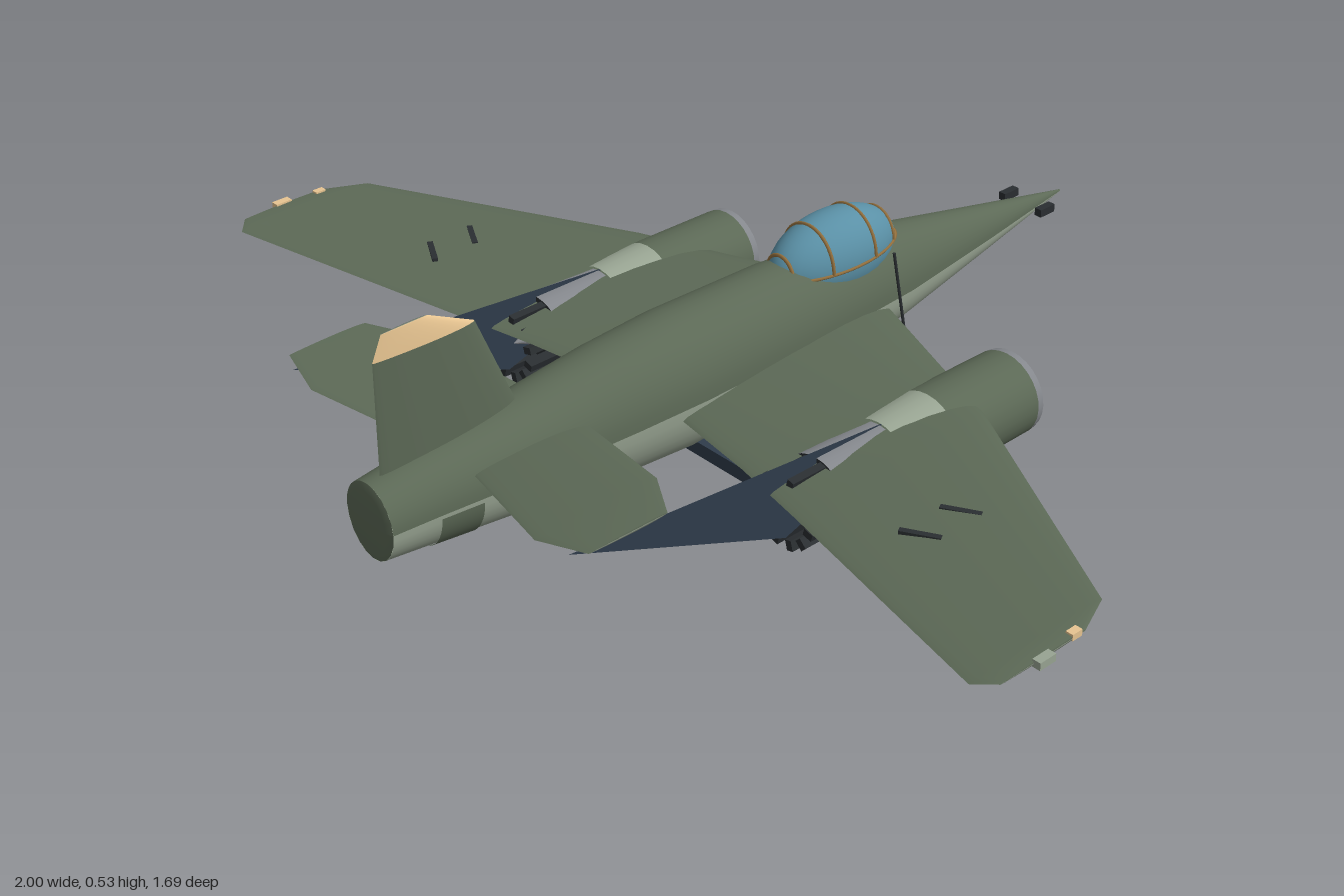
import * as THREE from 'three';

const flat = (name, color) => {
  const m = new THREE.MeshStandardMaterial({ color, side: THREE.DoubleSide });
  m.name = name;
  return m;
};
const olive = flat('olive', 0x5c6956);
const pale = flat('paleGreen', 0x98a492);
const steel = flat('steel', 0x84878c);
const navy = flat('navy', 0x2f3c4b);
const glass = flat('glass', 0x5a90a6);
const dark = flat('darkMetal', 0x2a2e31);
const brown = flat('brown', 0x94713f);
const tan = flat('tan', 0xeac793);

// Surface through rows of points
function skin(rows) {
  const n = rows[0].length, index = [];
  for (let i = 0; i < rows.length - 1; i++) {
    for (let j = 0; j < n - 1; j++) {
      const a = i * n + j, c = a + n;
      index.push(a, a + 1, c, a + 1, c + 1, c);
    }
  }
  const g = new THREE.BufferGeometry();
  g.setAttribute('position', new THREE.Float32BufferAttribute(rows.flat(2), 3));
  g.setIndex(index);
  g.computeVertexNormals();
  return g;
}

// One face of an aerofoil lofted along +x; sections are [x, y, lead z, trail z, thickness]
const LOWER = 0, UPPER = Math.PI;
function foil(sections, start, capped = true, n = 12) {
  const angles = Array.from({ length: n + 1 }, (_, j) => start + Math.PI * j / n);
  const row = ([x, y, lead, trail, thick]) => angles.map((t) => {
    const c = Math.cos(t);
    return [x, y - Math.sin(t) * thick / 2 * (0.85 - 0.3 * c),
      (lead + trail) / 2 + c * (trail - lead) / 2];
  });
  const rows = sections.map(row);
  if (capped) rows.push(row([...sections.at(-1).slice(0, 4), 0]));
  return skin(rows);
}

// Copy reflected to the other side, with its faces turned back outwards
function mirrored(geo) {
  const g = geo.clone().scale(-1, 1, 1), ix = g.index.array;
  for (let i = 0; i < ix.length; i += 3) [ix[i], ix[i + 1]] = [ix[i + 1], ix[i]];
  return g;
}

// Fuselage stations: [z, half width, top, bottom]
const SPLIT = 0.205;
const stations = [
  [-0.845, 0.002, 0.207, 0.203], [-0.6, 0.042, 0.256, 0.162], [-0.34, 0.08, 0.31, 0.115],
  [-0.05, 0.1, 0.333, 0.085], [0.2, 0.105, 0.336, 0.066], [0.35, 0.1, 0.328, 0.076],
  [0.6, 0.085, 0.302, 0.105], [0.75, 0.07, 0.286, 0.12], [0.84, 0.063, 0.275, 0.13],
];
function hull(list, t0, t1, grow = 0) {
  return skin(list.map(([z, w, top, bottom]) => Array.from({ length: 21 }, (_, j) => {
    const t = t0 + (t1 - t0) * j / 20, s = Math.sin(t);
    const h = s > 0 ? top - SPLIT : SPLIT - bottom;
    return [Math.cos(t) * (w + grow), SPLIT + s * (h + grow), z];
  })));
}

export function createModel() {
  const model = new THREE.Group();
  model.name = 'aircraft';
  const add = (name, geo, mat, x = 0, y = 0, z = 0, parent = model) => {
    const m = new THREE.Mesh(geo, mat);
    m.name = name;
    m.position.set(x, y, z);
    parent.add(m);
    return m;
  };
  const box = (w, h, d) => new THREE.BoxGeometry(w, h, d);
  const pair = (name, geo, mat) => {
    add(name + 'Left', geo, mat);
    add(name + 'Right', mirrored(geo), mat);
  };

  // Fuselage
  add('fuselageUpper', hull(stations, 0, Math.PI), olive);
  add('fuselageLower', hull(stations, Math.PI, Math.PI * 2), pale);
  const end = stations.at(-1);
  add('tailCap', hull([end, [0.845, 0.05, 0.262, 0.145], [0.845, 0, SPLIT, SPLIT]], 0, Math.PI * 2), olive);
  const patch = [[0.67, 0.0785, 0.295, 0.112], [0.75, 0.07, 0.286, 0.12]];
  pair('tailPatch', hull(patch, Math.PI * 1.62, Math.PI * 1.98, 0.002), olive);

  // Wings and tailplanes, olive above and pale below
  const surfaces = {
    wing: [
      [0.05, 0.185, -0.29, 0.25, 0.07], [0.28, 0.185, -0.2, 0.285, 0.055],
      [0.45, 0.19, -0.13, 0.325, 0.047], [0.95, 0.217, 0.16, 0.46, 0.016],
      [0.985, 0.22, 0.24, 0.43, 0.008]],
    tailplane: [
      [0.04, 0.245, 0.44, 0.67, 0.028], [0.3, 0.272, 0.49, 0.74, 0.022],
      [0.4, 0.286, 0.555, 0.715, 0.008]],
  };
  for (const [name, sections] of Object.entries(surfaces)) {
    pair(name + 'Upper', foil(sections, UPPER), olive);
    pair(name + 'Lower', foil(sections, LOWER), pale);
  }

  // Tail fin, painted differently on its two sides
  const finRoot = [0.25, 0, 0.515, 0.815, 0.034];
  const finTip = [[0.485, 0, 0.61, 0.81, 0.02], [0.53, 0, 0.7, 0.79, 0.008]];
  const upright = (g) => g.rotateZ(Math.PI / 2);
  add('finLeft', upright(foil([finRoot, finTip[0]], LOWER, false)), olive);
  add('finTipLeft', upright(foil(finTip, LOWER)), tan);
  add('finRight', upright(foil([finRoot, ...finTip], UPPER)), pale);

  // Canopy with hoops and a sill
  add('canopy', new THREE.SphereGeometry(1, 32, 20).scale(0.073, 0.085, 0.148), glass, 0, 0.305, -0.2);
  for (const dz of [-0.115, -0.045, 0.06, 0.13]) {
    const f = Math.sqrt(1 - (dz / 0.148) ** 2);
    add('canopyHoop', new THREE.TorusGeometry(0.073 * f, 0.0035, 6, 24, Math.PI).scale(1, 0.085 / 0.073, 1),
      brown, 0, 0.305, -0.2 + dz);
  }
  add('canopySill', new THREE.TorusGeometry(0.073, 0.003, 6, 40).rotateX(Math.PI / 2).scale(1, 1, 0.148 / 0.073),
    brown, 0, 0.306, -0.2);

  // Engines and the details carried on both sides
  for (const s of [1, -1]) {
    const engine = new THREE.Group();
    engine.name = s > 0 ? 'engineLeft' : 'engineRight';
    engine.position.set(s * 0.367, 0.138, 0);
    model.add(engine);
    const band = (name, r0, r1, z0, z1, mat) => add(name,
      new THREE.CylinderGeometry(r1, r0, z1 - z0, 28, 1, true).rotateX(Math.PI / 2),
      mat, 0, 0, (z0 + z1) / 2, engine);
    const disc = (name, r, z, mat) => add(name, new THREE.CircleGeometry(r, 28), mat, 0, 0, z, engine);
    band('intakeLip', 0.079, 0.081, -0.29, -0.275, steel);
    band('cowling', 0.081, 0.083, -0.275, -0.07, olive);
    band('paleBand', 0.083, 0.078, -0.07, 0.05, pale);
    band('jetPipe', 0.074, 0.075, 0.05, 0.2, steel);
    band('intakeDuct', 0.077, 0.06, -0.29, -0.2, navy);
    disc('intakeFace', 0.065, -0.21, dark);
    add('intakeSplitter', box(0.012, 0.145, 0.04), navy, 0, 0, -0.25, engine);
    add('intakeHub', new THREE.ConeGeometry(0.028, 0.07, 16).rotateX(-Math.PI / 2), dark, 0, 0, -0.245, engine);
    disc('exhaustFace', 0.075, 0.2, dark);
    add('exhaustHub', new THREE.ConeGeometry(0.025, 0.06, 16).rotateX(Math.PI / 2), steel, 0, 0, 0.23, engine);
    for (let i = 0; i < 12; i++) {
      const a = (i + 0.5) * Math.PI / 6;
      add('exhaustPetal', box(0.02, 0.014, 0.08), dark, Math.cos(a) * 0.062, Math.sin(a) * 0.062, 0.235, engine)
        .rotation.z = a;
    }

    // Upright triangular web behind the engine
    const web = new THREE.Shape([[-0.73, 0.276], [-0.27, 0.085], [0.1, 0.2]].map((p) => new THREE.Vector2(...p)));
    add('rearWeb', new THREE.ShapeGeometry(web).rotateY(Math.PI / 2), navy, s * 0.37);

    // Wing slots, tip lamps, nose vanes
    for (const z of [0.14, 0.235]) {
      add('wingSlot', box(0.07, 0.008, 0.011), dark, s * 0.64, 0.213, z).rotation.y = s * 0.5;
    }
    add('foreTipLamp', box(0.014, 0.012, 0.022), tan, s * 0.979, 0.221, 0.26);
    add('aftTipLamp', box(0.016, 0.014, 0.035), s > 0 ? pale : tan, s * 0.99, 0.22, 0.34);
    add('noseVane', box(0.016, 0.016, 0.04), dark, s * 0.047, 0.215, -0.745);

    // Pack bracing beside the cockpit
    add('packBracket', box(0.035, 0.05, 0.06), navy, s * 0.115, 0.1, -0.275);
    add('packStrut', box(0.02, 0.05, 0.03), navy, s * 0.12, 0.05, -0.245);
    add('cockpitRod', new THREE.CylinderGeometry(0.003, 0.003, 0.21, 6), dark, s * 0.088, 0.2, -0.295)
      .rotation.set(0.12, 0, s * 0.08);
    add('underwingPylon', box(0.025, 0.03, 0.05), dark, s * 0.215, 0.145, 0.05);
  }

  // Belly pack in tiers
  add('packTray', box(0.3, 0.028, 0.39), navy, 0, 0.016, -0.07);
  add('packPanel', box(0.27, 0.004, 0.36), navy, 0, 0.002, -0.07);
  add('packBody', box(0.28, 0.035, 0.2), navy, 0, 0.046, -0.07);
  add('packUpper', box(0.3, 0.04, 0.3), navy, 0, 0.083, -0.1);
  add('packMount', box(0.18, 0.05, 0.26), navy, 0, 0.115, -0.13);
  return model;
}
